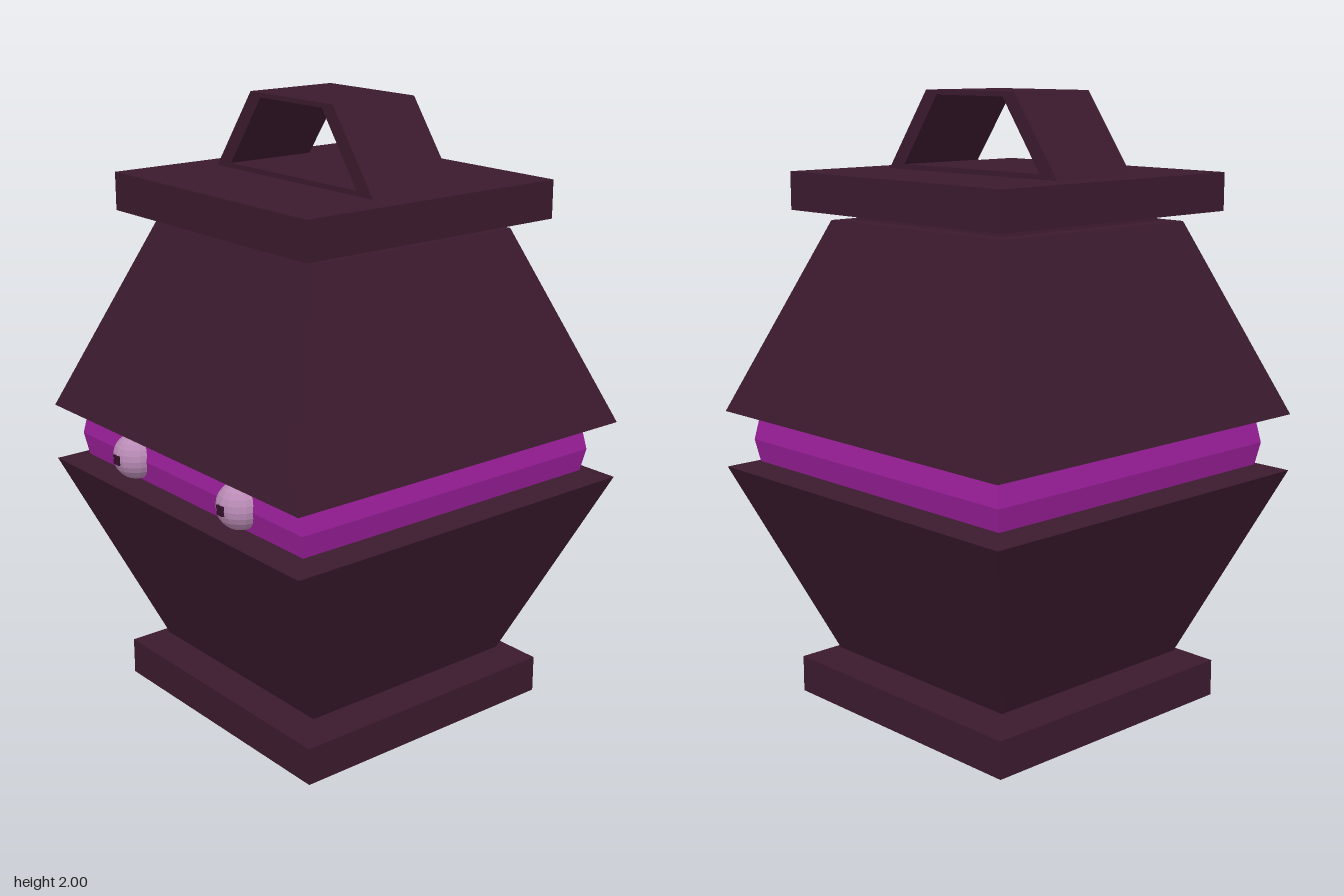
import * as THREE from 'three';

const material = (color) => new THREE.MeshStandardMaterial({ color, flatShading: true });

// Square solid of revolution; profile is [halfWidth, y] from bottom to top
function squareLathe(profile) {
  const points = profile.map(([half, y]) => new THREE.Vector2(half * Math.SQRT2, y));
  return new THREE.LatheGeometry(points, 4).rotateY(Math.PI / 4);
}

export function createModel() {
  const group = new THREE.Group();
  const shell = material(0x3b1a2e);
  const glow = material(0x9c1f9c);
  const eyeWhite = material(0xb98bb5);
  const pupilDark = material(0x35102c);

  const add = (name, geometry, mat, x = 0, y = 0, z = 0, parent = group) => {
    const mesh = new THREE.Mesh(geometry, mat);
    mesh.name = name;
    mesh.position.set(x, y, z);
    parent.add(mesh);
    return mesh;
  };

  // Foot and lid slabs
  const slab = new THREE.BoxGeometry(0.97, 0.122, 0.97);
  add('foot', slab, shell, 0, 0.061, 0);
  add('lid', slab, shell, 0, 1.685, 0);

  // Flared body halves, each with a short neck and a bevelled lip
  const half = [[0, 0.12], [0.33, 0.12], [0.34, 0.155], [0.395, 0.155], [0.65, 0.78], [0.57, 0.8], [0, 0.8]];
  const mirrored = half.map(([w, y]) => [w, 1.747 - y]).reverse();
  add('lowerBody', squareLathe(half), shell);
  add('upperBody', squareLathe(mirrored), shell);

  // Glowing band between the halves
  add('band', squareLathe([[0.57, 0.79], [0.585, 0.873], [0.57, 0.957]]), glow);

  // Eyes on the front of the band
  for (const side of [-1, 1]) {
    const eye = new THREE.Group();
    eye.name = side > 0 ? 'leftEye' : 'rightEye';
    eye.position.set(side * 0.28, 0.875, 0.575);
    add('eyeball', new THREE.SphereGeometry(0.075, 16, 12), eyeWhite, 0, 0, 0, eye);
    add('pupil', new THREE.BoxGeometry(0.03, 0.03, 0.03), pupilDark, 0, 0, 0.062, eye);
    group.add(eye);
  }

  // Trapezoid carrying handle with an opening
  const trapezoid = (bottom, top, y0, y1) => [[-bottom, y0], [bottom, y0], [top, y1], [-top, y1]]
    .map(([x, y]) => new THREE.Vector2(x, y));
  const outline = new THREE.Shape(trapezoid(0.385, 0.2, 1.745, 2));
  outline.holes.push(new THREE.Path(trapezoid(0.31, 0.15, 1.762, 1.985)));
  const handle = new THREE.ExtrudeGeometry(outline, { depth: 0.32, bevelEnabled: false });
  add('handle', handle, shell, 0, 0, -0.16);

  return group;
}
